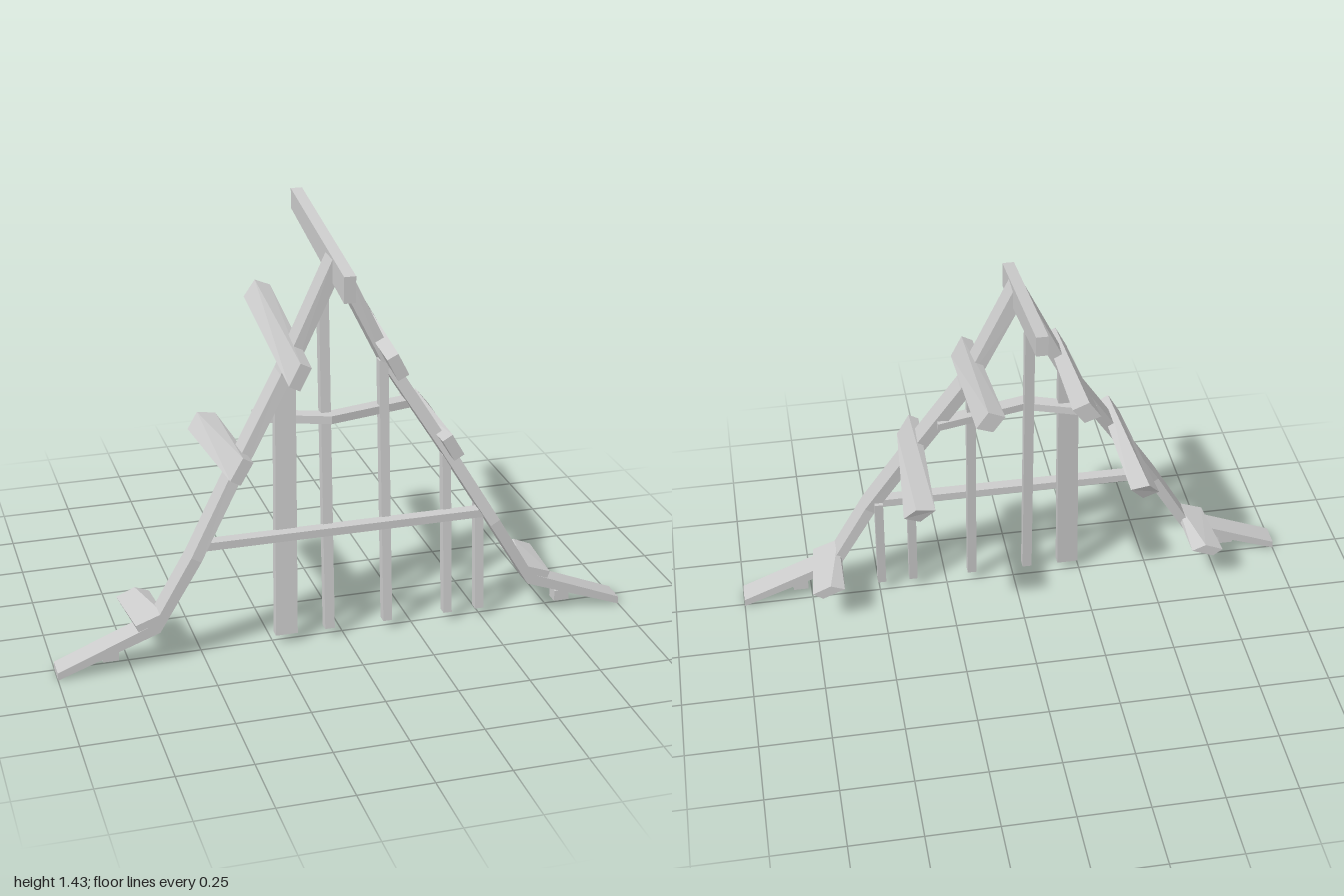
import * as THREE from 'three';

const material = new THREE.MeshStandardMaterial({ color: 0xcccccc, flatShading: true });

// Lofts a capped four-sided bar through sections of four [x, y, z] corners.
function bar(name, sections) {
  const pos = [];
  const quad = (a, b, c, d) => pos.push(...a, ...b, ...c, ...a, ...c, ...d);
  for (let i = 0; i < sections.length - 1; i++) {
    const s = sections[i], e = sections[i + 1];
    for (let k = 0; k < 4; k++) {
      const n = (k + 1) % 4;
      quad(s[k], s[n], e[n], e[k]);
    }
  }
  const first = sections[0], last = sections[sections.length - 1];
  quad(first[3], first[2], first[1], first[0]);
  quad(...last);

  // Turn the faces outward whatever the order of the sections.
  const a = new THREE.Vector3(), b = new THREE.Vector3(), c = new THREE.Vector3();
  let volume = 0;
  for (let i = 0; i < pos.length; i += 9) {
    a.fromArray(pos, i); b.fromArray(pos, i + 3); c.fromArray(pos, i + 6);
    volume += a.dot(b.cross(c));
  }
  if (volume < 0) {
    for (let i = 0; i < pos.length; i += 9) {
      for (let k = 0; k < 3; k++) {
        [pos[i + 3 + k], pos[i + 6 + k]] = [pos[i + 6 + k], pos[i + 3 + k]];
      }
    }
  }
  const geometry = new THREE.BufferGeometry();
  geometry.setAttribute('position', new THREE.Float32BufferAttribute(pos, 3));
  geometry.computeVertexNormals();
  const mesh = new THREE.Mesh(geometry, material);
  mesh.name = name;
  return mesh;
}

const SQUARE = [[-0.5, -0.5], [0.5, -0.5], [0.5, 0.5], [-0.5, 0.5]];

// Horizontal rectangular section.
const plan = (x, y, z, w, d) => SQUARE.map(([i, j]) => [x + i * w, y, z + j * d]);

// Upright section facing z, from [x, y] corners; side mirrors it.
const upright = (corners, z, side) => corners.map(([x, y]) => [x * side, y, z]);

// Rectangle in the xy plane, its length running down the roof slope.
function sloped(x, y, length, thick, degrees) {
  const t = THREE.MathUtils.degToRad(degrees), c = Math.cos(t), s = Math.sin(t);
  return SQUARE.map(([i, j]) => [
    x + i * length * c + j * thick * s,
    y - i * length * s + j * thick * c,
  ]);
}

export function createModel() {
  const group = new THREE.Group();

  // Bent rafters: upper edge, lower edge, and the middle depth.
  const rafter = [
    [[1, 0.03], [1, 0.003], 0.283],
    [[0.672, 0.162], [0.652, 0.13], 0.283],
    [[0.54, 0.39], [0.507, 0.37], 0.283],
    [[0.375, 0.67], [0.34, 0.65], 0.222],
    [[0.2, 0.955], [0.163, 0.935], 0.163],
    [[0.02, 1.332], [0, 1.265], 0.15],
  ];

  // Purlins lie on the rafters and grow squarer towards the back.
  const purlins = [
    ['LowestPurlin', sloped(0.682, 0.172, 0.1, 0.026, 20),
      [[0.64, 0.165], [0.72, 0.132], [0.755, 0.157], [0.69, 0.185]], 0.08, 0.08],
    ['LowerPurlin', sloped(0.365, 0.679, 0.088, 0.04, 60),
      [[0.335, 0.685], [0.385, 0.625], [0.44, 0.645], [0.4, 0.695]], -0.185, -0.16],
    ['UpperPurlin', sloped(0.166, 0.988, 0.086, 0.042, 63),
      [[0.11, 1.105], [0.15, 1.05], [0.205, 1.07], [0.165, 1.128]], -0.275, -0.275],
  ];

  for (const side of [1, -1]) {
    const label = side > 0 ? 'left' : 'right';
    group.add(bar(label + 'Rafter', rafter.map(([[xa, ya], [xb, yb], z]) => [
      [xa * side, ya, z + 0.042], [xa * side, ya, z - 0.042],
      [xb * side, yb, z - 0.042], [xb * side, yb, z + 0.042],
    ])));

    for (const [name, front, back, zTop, zBottom] of purlins) {
      const middle = back.reduce((sum, p) => sum + p[1], 0) / 4;
      group.add(bar(label + name, [
        upright(front, 0.325, side),
        back.map(([x, y]) => [x * side, y, y > middle ? zTop : zBottom]),
      ]));
    }

    // Short foot under the flared end.
    const x = side > 0 ? 0.79 : -0.818;
    group.add(bar(label + 'Foot', [
      plan(x, 0.037, 0.283, 0.054, 0.045), plan(x, 0.076, 0.283, 0.054, 0.045),
    ]));
  }

  // Ridge beam rising to the back.
  const ridge = (low, high) => [[-0.02, low], [0.02, low], [0.02, high], [-0.02, high]];
  group.add(bar('ridgeBeam', [
    upright(ridge(1.225, 1.315), 0.325, 1), upright(ridge(1.36, 1.43), -0.325, 1),
  ]));

  // Wall posts leaning back: bottom x, top x, top y, width.
  const posts = [
    [-0.224, -0.2, 0.9, 0.042],
    [-0.186, -0.167, 0.95, 0.036],
    [-0.053, -0.047, 1.2, 0.034],
    [0.155, 0.155, 0.97, 0.032],
    [0.374, 0.374, 0.615, 0.03],
    [0.491, 0.491, 0.42, 0.03],
  ];
  posts.forEach(([x0, x1, top, width], i) => {
    group.add(bar('wallPost' + (i + 1), [
      plan(x0, 0.037, 0.267, width, 0.034),
      plan(x1, top, 0.27 - 0.086 * top, width, 0.034),
    ]));
  });

  // Cross ties: a straight lower one and a bent upper one.
  const tieSection = (x, y, z, d) => SQUARE.map(([i, j]) => [x, y + i * 0.028, z + j * d]);
  group.add(bar('lowerTie', [-0.515, 0.515].map((x) => tieSection(x, 0.405, 0.268, 0.042))));
  group.add(bar('upperTie', [[-0.28, 0.145], [-0.04, 0.23], [0.28, 0.155]]
    .map(([x, z]) => tieSection(x, 0.797, z, 0.05))));

  return group;
}
